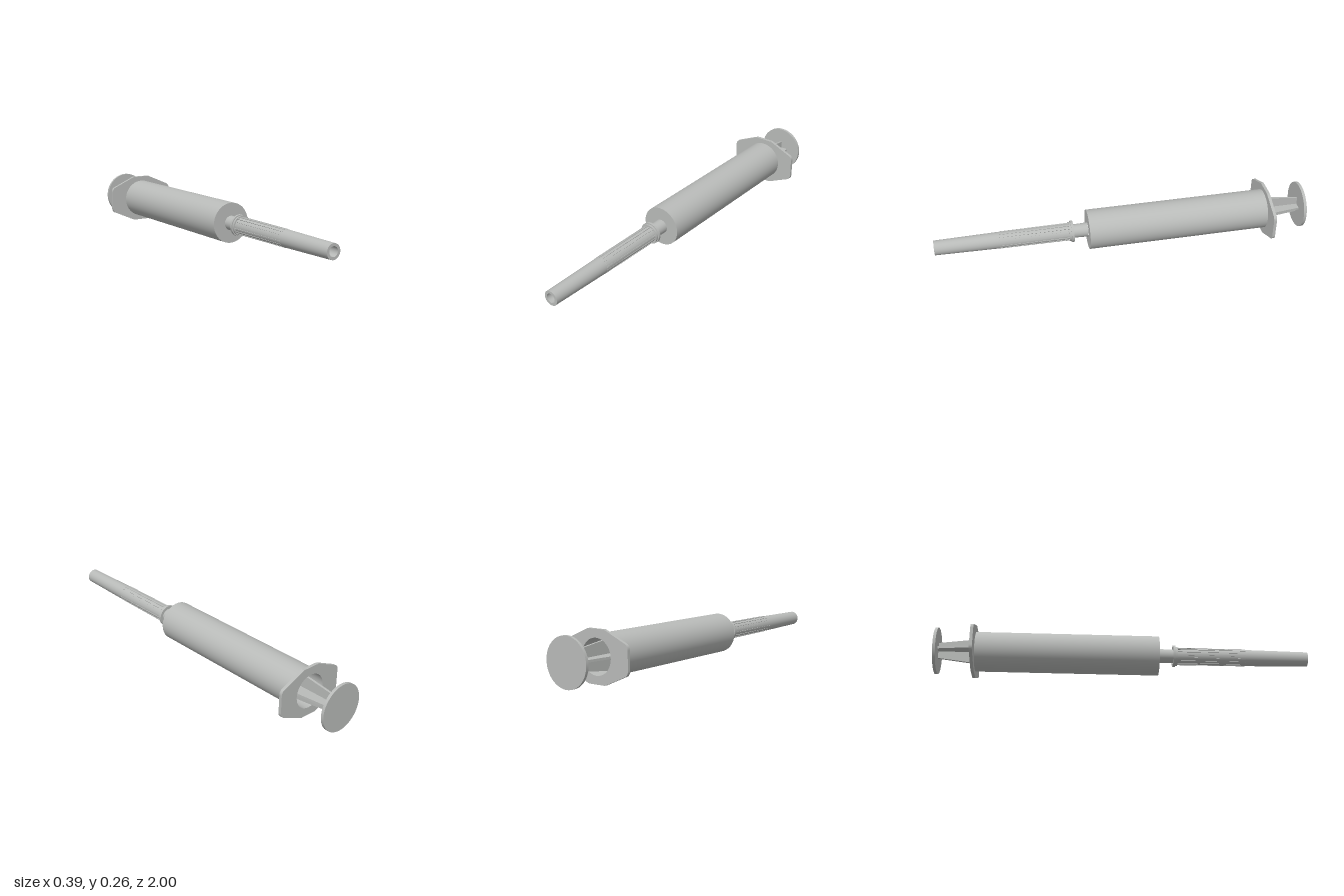
import * as THREE from 'three';

const AXIS_Y = 0.133; // height of the long axis

export function createModel() {
  const group = new THREE.Group();
  group.name = 'syringe';
  const plastic = new THREE.MeshStandardMaterial({ color: 0xb9bbb9 });
  plastic.name = 'greyPlastic';

  const add = (geometry, name) => {
    const mesh = new THREE.Mesh(geometry, plastic);
    mesh.name = name;
    mesh.position.y = AXIS_Y;
    group.add(mesh);
    return mesh;
  };

  // Turned part along z: each pair of points makes its own band, so edges stay sharp.
  // Points are [radius, z], outside listed from back to front.
  const turned = (points, name) => {
    const part = new THREE.Group();
    part.name = name;
    part.position.y = AXIS_Y;
    for (let i = 0; i < points.length - 1; i++) {
      const band = [points[i], points[i + 1]].map(([r, z]) => new THREE.Vector2(r, z));
      const mesh = new THREE.Mesh(new THREE.LatheGeometry(band, 64).rotateX(Math.PI / 2), plastic);
      mesh.name = name + 'Surface';
      part.add(mesh);
    }
    group.add(part);
  };

  // Hollow barrel with a closed front and a tapered nozzle
  turned([[0.09, -0.79], [0.106, -0.79], [0.106, 0.19], [0.039, 0.19]], 'barrel');
  turned([[0.0001, 0.17], [0.09, 0.17], [0.09, -0.79]], 'barrelBore');
  turned([[0.038, 0.19], [0.034, 0.34], [0, 0.34]], 'nozzle');

  // Finger flange: eight-sided plate with rounded ends and a round hole
  const flange = new THREE.Shape();
  flange.moveTo(-0.05, -0.132);
  flange.lineTo(0.05, -0.132);
  flange.lineTo(0.175, -0.077);
  flange.quadraticCurveTo(0.193, -0.069, 0.193, -0.047);
  flange.lineTo(0.193, 0.047);
  flange.quadraticCurveTo(0.193, 0.069, 0.175, 0.077);
  flange.lineTo(0.05, 0.132);
  flange.lineTo(-0.05, 0.132);
  flange.lineTo(-0.175, 0.077);
  flange.quadraticCurveTo(-0.193, 0.069, -0.193, 0.047);
  flange.lineTo(-0.193, -0.047);
  flange.quadraticCurveTo(-0.193, -0.069, -0.175, -0.077);
  flange.closePath();
  flange.holes.push(new THREE.Path().absarc(0, 0, 0.09, 0, Math.PI * 2, true));
  add(new THREE.ExtrudeGeometry(flange, { depth: 0.016, bevelEnabled: false, curveSegments: 32 })
    .translate(0, 0, -0.802), 'fingerFlange');

  // Plunger: thumb disc, crossed tapering fins and stopper
  turned([[0, -1], [0.124, -1], [0.124, -0.985], [0, -0.985]], 'thumbDisc');
  const fin = new THREE.Shape([
    [-0.044, -0.985], [0.044, -0.985], [0.068, -0.8], [0.085, -0.66], [0.085, 0.09],
    [-0.085, 0.09], [-0.085, -0.66], [-0.068, -0.8],
  ].map(([x, z]) => new THREE.Vector2(x, z)));
  for (const angle of [0, Math.PI / 2]) {
    const geometry = new THREE.ExtrudeGeometry(fin, { depth: 0.012, bevelEnabled: false });
    geometry.translate(0, 0, -0.006).rotateX(Math.PI / 2).rotateZ(angle);
    add(geometry, 'plungerFin');
  }
  turned([[0, 0.09], [0.089, 0.09], [0.089, 0.15], [0, 0.15]], 'stopper');

  // Needle cap: stepped collar and a long, slightly tapered hollow sleeve
  turned([
    [0.042, 0.268], [0.058, 0.268], [0.058, 0.281], [0.052, 0.281], [0.052, 0.292], [0.044, 0.292],
    [0.044, 0.66], [0.039, 1], [0.025, 1], [0.027, 0.34], [0.042, 0.33], [0.042, 0.268],
  ], 'needleCap');

  // Thin grip ribs that fade out along the cap
  const rib = new THREE.Shape([
    [0.04, 0.285], [0.0475, 0.285], [0.0455, 0.66], [0.04, 0.665],
  ].map(([r, z]) => new THREE.Vector2(r, z)));
  const ribCount = 16;
  for (let i = 0; i < ribCount; i++) {
    const geometry = new THREE.ExtrudeGeometry(rib, { depth: 0.005, bevelEnabled: false });
    geometry.translate(0, 0, -0.0025).rotateX(Math.PI / 2).rotateZ((i + 0.5) * Math.PI * 2 / ribCount);
    add(geometry, 'gripRib');
  }

  return group;
}
